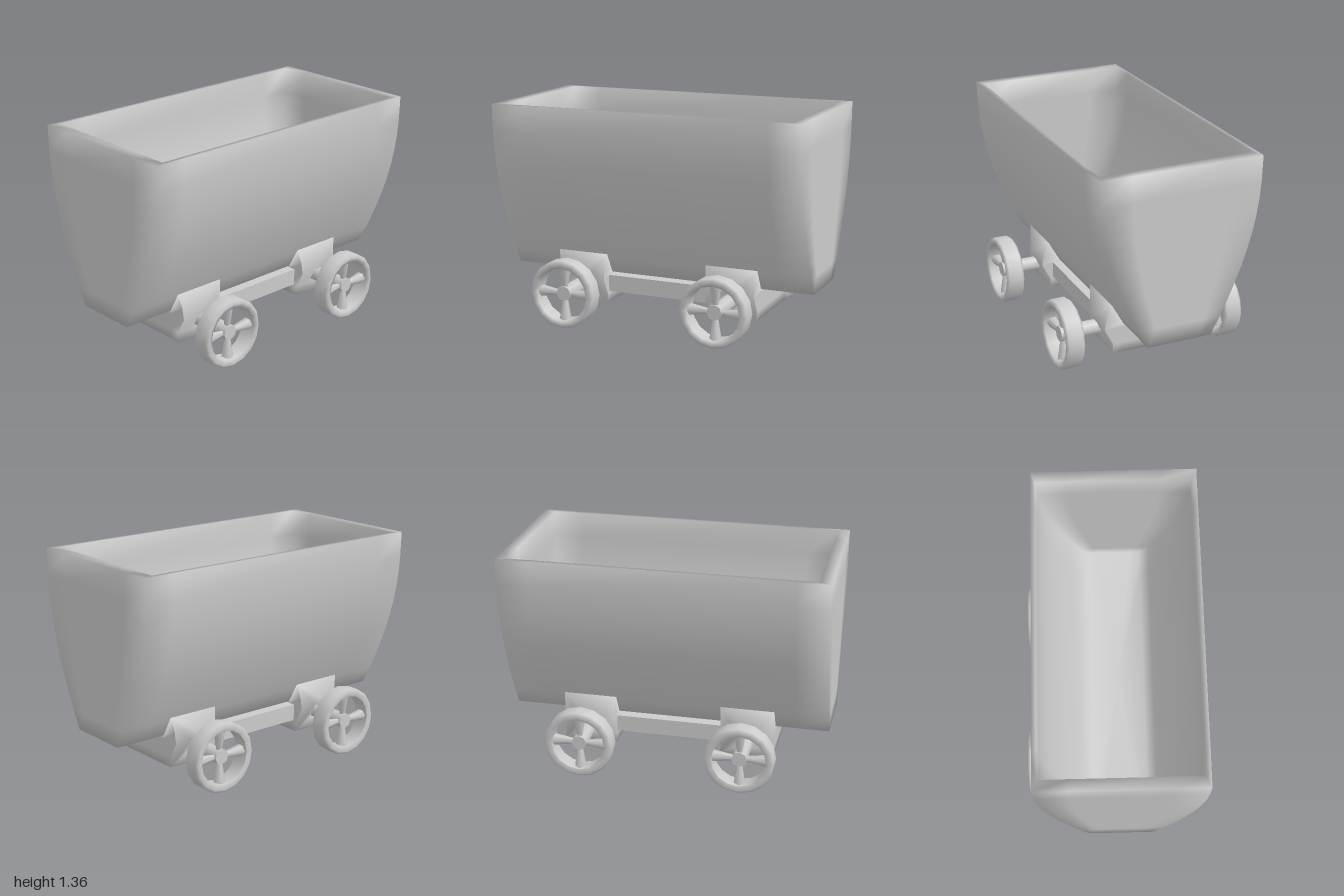
import * as THREE from 'three';
import { mergeVertices } from 'three/addons/utils/BufferGeometryUtils.js';

const material = new THREE.MeshStandardMaterial({ color: 0xcccccc });

function add(parent, name, geometry) {
  const mesh = new THREE.Mesh(geometry, material);
  mesh.name = name;
  parent.add(mesh);
  return mesh;
}

// Linear lookup in a list of [y, half width] pairs
function widthAt(profile, y) {
  for (let i = 1; i < profile.length; i++) {
    const [y0, w0] = profile[i - 1], [y1, w1] = profile[i];
    if (y <= y1) return THREE.MathUtils.lerp(w0, w1, Math.max(0, (y - y0) / (y1 - y0)));
  }
  return profile[profile.length - 1][1];
}

const TUB = [[0.29, 0.202], [0.4, 0.262], [0.5, 0.31], [0.6, 0.353], [0.7, 0.393], [0.8, 0.427],
  [0.9, 0.455], [1, 0.477], [1.1, 0.492], [1.2, 0.501], [1.36, 0.506]];

// Open tub: rectangular rings up the outside, over the rim and down the inside
function tubGeometry() {
  const ring = [[1, 1], [1, 0.6], [1, -0.6], [1, -1], [0.8, -1], [-0.8, -1],
    [-1, -1], [-1, -0.6], [-1, 0.6], [-1, 1], [-0.8, 1], [0.8, 1]];
  const n = ring.length;
  const outer = TUB.map(([y, w]) => [y, 1, w]);
  const inner = TUB.map(([y, w]) => [Math.max(y, 0.33), 0.93, w - 0.03]).reverse();
  const levels = [...outer, ...inner];
  const pos = [], index = [];
  for (const [y, hx, hz] of levels) for (const [x, z] of ring) pos.push(x * hx, y, z * hz);
  for (let r = 0; r < levels.length - 1; r++) {
    for (let i = 0; i < n; i++) {
      const a = r * n + i, b = r * n + (i + 1) % n;
      index.push(a, b, b + n, a, b + n, a + n);
    }
  }
  // underside and floor
  const under = pos.length / 3, floor = under + 1, last = (levels.length - 1) * n;
  pos.push(0, 0.29, 0, 0, 0.33, 0);
  for (let i = 0; i < n; i++) {
    const j = (i + 1) % n;
    index.push(under, j, i, floor, last + i, last + j);
  }
  const g = new THREE.BufferGeometry();
  g.setAttribute('position', new THREE.Float32BufferAttribute(pos, 3));
  g.setIndex(index);
  g.computeVertexNormals();
  return g;
}

// Axle block: pierced by a square tunnel, with raised ends that cradle the tub
function blockGeometry() {
  const profile = [[0.105, 0.27], [0.165, 0.27], [0.27, 0.325], [0.34, 0.312], [0.42, 0.275]];
  const ys = profile.map(p => p[0]);
  const outline = [...ys.map(y => new THREE.Vector2(0.167, y)),
    ...ys.map(y => new THREE.Vector2(-0.167, y)).reverse()];
  const shape = new THREE.Shape(outline);
  shape.holes.push(new THREE.Path([[-0.053, 0.165], [-0.053, 0.27], [0.053, 0.27], [0.053, 0.165]]
    .map(p => new THREE.Vector2(...p))));
  let g = new THREE.ExtrudeGeometry(shape, { depth: 2, steps: 3, bevelEnabled: false });
  g.translate(0, 0, -1);
  const p = g.attributes.position;
  for (let i = 0; i < p.count; i++) {
    const y = p.getY(i), z = p.getZ(i);
    if (Math.abs(z) > 0.9) p.setZ(i, Math.sign(z) * widthAt(profile, y));
    else p.setXYZ(i, p.getX(i), Math.min(y, 0.295), Math.sign(z) * 0.205);
  }
  g.deleteAttribute('normal');
  g.deleteAttribute('uv');
  g = mergeVertices(g);
  g.computeVertexNormals();
  return g;
}

// Wheel around the z axis: chamfered rim and four flared spokes
function makeWheel() {
  const wheel = new THREE.Group();
  wheel.name = 'wheel';
  const section = [[0.168, -0.05], [0.198, -0.06], [0.215, -0.043], [0.215, 0.043],
    [0.198, 0.06], [0.168, 0.05], [0.168, -0.05]].map(p => new THREE.Vector2(...p));
  add(wheel, 'rim', new THREE.LatheGeometry(section, 16).rotateX(Math.PI / 2));
  for (let i = 0; i < 4; i++) {
    const spoke = new THREE.CylinderGeometry(0.038, 0.015, 0.15, 6).translate(0, 0.1, 0);
    add(wheel, 'spoke', spoke.rotateZ(i * Math.PI / 2));
  }
  return wheel;
}

export function createModel() {
  const cart = new THREE.Group();
  cart.name = 'cart';
  add(cart, 'tub', tubGeometry());
  add(cart, 'centreBeam', new THREE.BoxGeometry(0.68, 0.105, 0.5)).position.y = 0.2275;

  for (const x of [-0.5, 0.5]) {
    const axleSet = new THREE.Group();
    axleSet.name = 'axleSet';
    axleSet.position.x = x;
    add(axleSet, 'axleBlock', blockGeometry());
    const axle = new THREE.CylinderGeometry(0.048, 0.048, 1.1, 8).rotateX(Math.PI / 2);
    add(axleSet, 'axle', axle).position.y = 0.216;
    for (const side of [-1, 1]) {
      const wheel = makeWheel();
      wheel.position.set(0, 0.215, side * 0.524);
      axleSet.add(wheel);
    }
    cart.add(axleSet);
  }
  return cart;
}
